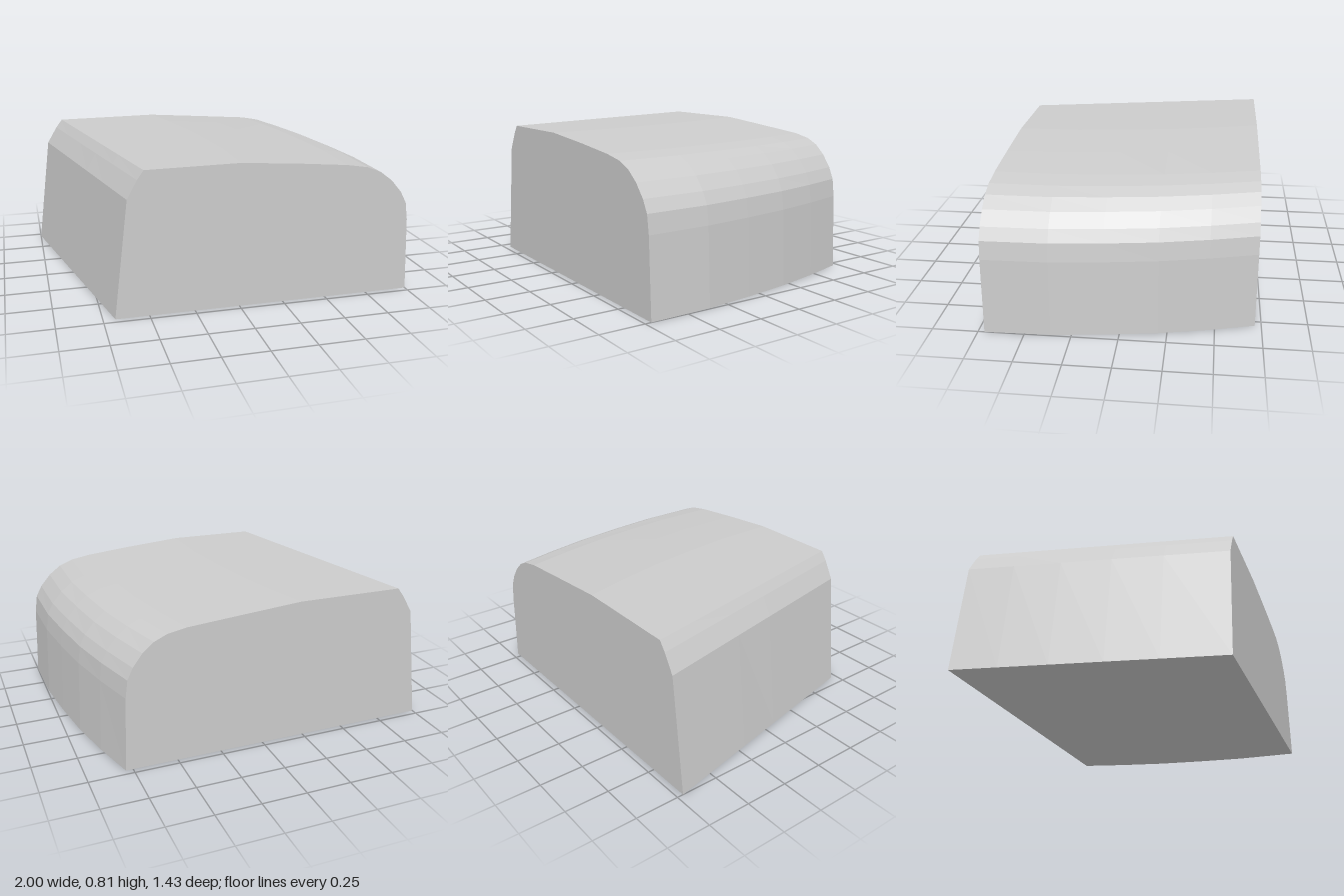
import * as THREE from 'three';

// Left edge of the section: [inset from the left base line, height]
const LEFT = [[0, 0], [0.08, 0.655], [0.135, 0.755], [0.17, 0.805]];
// Crown and right shoulder: [inset from the right base line, height]
const RIGHT = [
  [1.0, 0.81], [0.67, 0.785], [0.4, 0.76], [0.28, 0.74], [0.2, 0.708], [0.13, 0.655],
  [0.07, 0.585], [0.035, 0.52], [0.02, 0.42], [0, 0],
];
// Stations from front to back: [z, x of the curved right base line]
const STATIONS = [[0.715, 1], [0.36, 0.992], [0.08, 0.96], [-0.2, 0.918], [-0.46, 0.86], [-0.715, 0.79]];

function section([z, right]) {
  const t = (0.715 - z) / 1.43; // 0 at the front, 1 at the back
  const left = -0.685 - 0.315 * t;
  const tight = 1 - 0.12 * t; // the shoulder tightens towards the back
  return [
    ...LEFT.map(([d, y]) => [left + d * (1 + 0.08 * t), y, z]),
    ...RIGHT.map(([d, y]) => [right - (d < 0.5 ? d * tight : d), y, z]),
  ];
}

function loftGeometry(sections) {
  const n = sections[0].length;
  const last = (sections.length - 1) * n;
  const index = [];
  // Skin, including the flat underside
  for (let s = 0; s < sections.length - 1; s++) {
    for (let i = 0; i < n; i++) {
      const a = s * n + i, b = s * n + ((i + 1) % n);
      index.push(a, b, b + n, a, b + n, a + n);
    }
  }
  // Flat front and back ends
  for (let i = 1; i < n - 1; i++) {
    index.push(0, i + 1, i, last, last + i, last + i + 1);
  }
  const geometry = new THREE.BufferGeometry();
  geometry.setAttribute('position', new THREE.Float32BufferAttribute(sections.flat(2), 3));
  geometry.setIndex(index);
  const faceted = geometry.toNonIndexed();
  faceted.computeVertexNormals();
  return faceted;
}

export function createModel() {
  const group = new THREE.Group();
  group.name = 'roundedBlock';
  const material = new THREE.MeshStandardMaterial({ color: 0xcccccc, flatShading: true });
  const body = new THREE.Mesh(loftGeometry(STATIONS.map(section)), material);
  body.name = 'body';
  group.add(body);
  return group;
}
